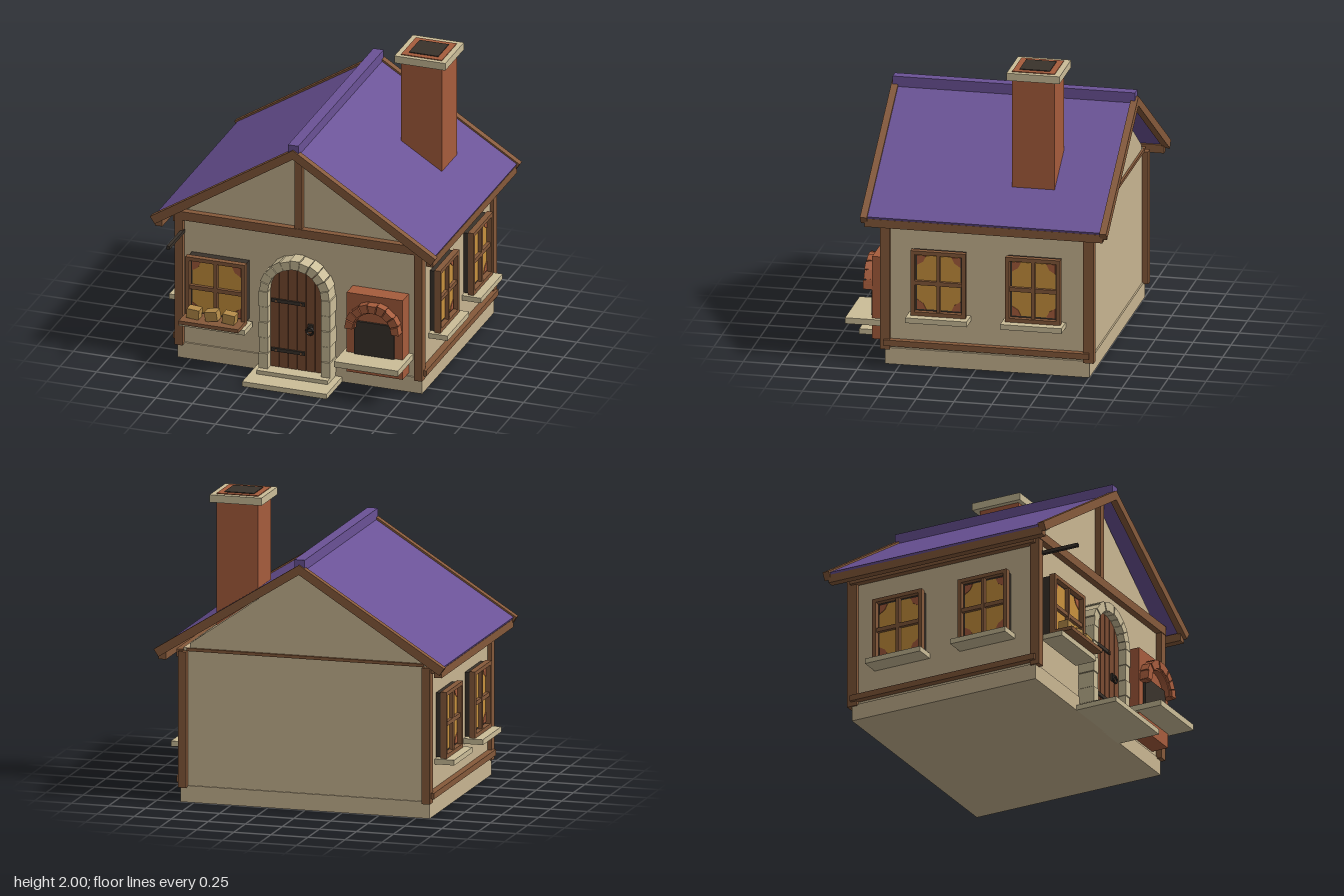
import * as THREE from 'three';

const mat = (name, color) => {
  const m = new THREE.MeshStandardMaterial({ color, flatShading: true });
  m.name = name;
  return m;
};

export function createModel() {
  const house = new THREE.Group();
  house.name = 'cottage';
  const plaster = mat('plaster', 0xc8b591);
  const stone = mat('pale stone', 0xcbbd98);
  const wood = mat('timber', 0x85593a);
  const doorWood = mat('door wood', 0x7a4b31);
  const roofMat = mat('purple roof', 0x6a5296);
  const brick = mat('brick', 0xa65c3c);
  const dark = mat('dark iron', 0x39322b);
  const glass = mat('amber glass', 0xc8913d);
  const bread = mat('bread', 0xb48b49);

  const add = (parent, name, geo, m) => {
    const mesh = new THREE.Mesh(geo, m);
    mesh.name = name;
    parent.add(mesh);
    return mesh;
  };
  // Box given by its minimum and maximum on each axis
  const box = (parent, name, m, x0, x1, y0, y1, z0, z1) => {
    const mesh = add(parent, name, new THREE.BoxGeometry(x1 - x0, y1 - y0, z1 - z0), m);
    mesh.position.set((x0 + x1) / 2, (y0 + y1) / 2, (z0 + z1) / 2);
    return mesh;
  };
  const extrude = (shape, depth) =>
    new THREE.ExtrudeGeometry(shape, { depth, bevelEnabled: false, curveSegments: 16 });
  const prism = (parent, name, m, pts, z0, z1) => {
    const shape = new THREE.Shape(pts.map(p => new THREE.Vector2(p[0], p[1])));
    const mesh = add(parent, name, extrude(shape, z1 - z0), m);
    mesh.position.z = z0;
    return mesh;
  };
  // Half ring of separate wedge blocks
  const archBlocks = (parent, name, m, cx, cy, rIn, rOut, count, z0, z1, gap) => {
    for (let i = 0; i < count; i++) {
      const a = (i / count) * Math.PI + gap, b = ((i + 1) / count) * Math.PI - gap;
      const out = i % 2 ? rOut : rOut - 0.006;
      const pt = (r, t) => [cx + r * Math.cos(t), cy + r * Math.sin(t)];
      prism(parent, name, m, [pt(rIn, a), pt(out, a), pt(out, b), pt(rIn, b)], z0, z1 - (i % 2) * 0.004);
    }
  };

  // Base, walls and gable
  box(house, 'foundation', plaster, -0.84, 0.84, 0, 0.11, -0.75, 0.6);
  box(house, 'walls', plaster, -0.825, 0.825, 0.11, 1.02, -0.74, 0.59);
  prism(house, 'gable', plaster, [[-0.78, 1.02], [0.78, 1.02], [0.78, 1.05], [0, 1.6], [-0.78, 1.05]], -0.74, 0.59);

  // Timber frame
  for (const s of [-1, 1]) {
    const span = (a, b) => (s > 0 ? [a, b] : [-b, -a]);
    box(house, 'frontPost', wood, ...span(0.795, 0.85), 0.1, 1.0, 0.565, 0.63);
    box(house, 'backPost', wood, ...span(0.795, 0.85), 0.1, 1.0, -0.78, -0.71);
    box(house, 'sillRail', wood, ...span(0.82, 0.87), 0.13, 0.17, -0.75, 0.605);
    box(house, 'wallPlate', wood, ...span(0.82, 0.87), 0.96, 1.01, -0.75, 0.605);
    box(house, 'eaveBeam', wood, ...span(0.905, 0.955), 0.96, 1.015, -0.86, 0.71);
    // Roof slope and barge boards
    prism(house, 'roofSlope', roofMat, [[0, 1.635], [s * 0.96, 1.03], [s * 0.945, 1.0], [0, 1.6]], -0.85, 0.695);
    for (const z of [-0.89, 0.69])
      prism(house, 'bargeBoard', wood, [[0, 1.65], [s * 0.98, 1.03], [s * 0.948, 0.982], [0, 1.585]], z, z + 0.045);
  }
  box(house, 'tieBeam', wood, -0.85, 0.85, 0.99, 1.05, 0.57, 0.635);
  box(house, 'backTieBeam', wood, -0.8, 0.8, 1.0, 1.02, -0.755, -0.72);
  box(house, 'kingPost', wood, -0.025, 0.025, 1.05, 1.6, 0.57, 0.63);
  box(house, 'ridgeCap', roofMat, -0.035, 0.035, 1.61, 1.682, -0.875, 0.725);

  // Chimney
  const chimney = new THREE.Group();
  chimney.name = 'chimney';
  house.add(chimney);
  box(chimney, 'chimneyStack', brick, 0.4, 0.68, 1.08, 1.995, -0.485, -0.205);
  box(chimney, 'chimneyCap', stone, 0.365, 0.715, 1.94, 1.99, -0.525, -0.175);
  box(chimney, 'flue', dark, 0.44, 0.64, 1.97, 2.0, -0.445, -0.245);

  // Window facing +z, with its back on z = 0 and centred on its own x and y
  const makeWindow = (w, h, sillW, sillOut) => {
    const g = new THREE.Group();
    g.name = 'window';
    const x = w / 2, y = h / 2, f = 0.026;
    box(g, 'windowBacking', dark, -x + 0.008, x - 0.008, -y + 0.008, y - 0.008, -0.01, 0.04);
    const gx = x - f - 0.012, gy = y - f - 0.012;
    box(g, 'pane', glass, -gx, gx, -gy, gy, 0.036, 0.044);
    for (const s of [-1, 1]) {
      box(g, 'frameSide', wood, s * (x - f / 2) - f / 2, s * (x - f / 2) + f / 2, -y, y, 0.035, 0.075);
      box(g, 'frameRail', wood, -x + f, x - f, s * (y - f / 2) - f / 2, s * (y - f / 2) + f / 2, 0.035, 0.075);
      for (const t of [-1, 1])
        prism(g, 'curtainCorner', brick, [[s * gx, t * gy], [s * (gx - 0.06), t * gy],
          [s * (gx - 0.04), t * (gy - 0.04)], [s * gx, t * (gy - 0.065)]], 0.044, 0.048);
    }
    box(g, 'mullion', wood, -0.012, 0.012, -y + f, y - f, 0.04, 0.068);
    box(g, 'crossbar', wood, -x + f, x - f, -0.014, 0.014, 0.04, 0.066);
    box(g, 'windowSill', stone, -sillW / 2, sillW / 2, -y - 0.035, -y, -0.01, sillOut);
    return g;
  };
  for (const s of [-1, 1])
    for (const z of [0.238, -0.388]) {
      const win = makeWindow(0.362, 0.44, 0.405, 0.133);
      win.position.set(s * 0.823, 0.58, z);
      win.rotation.y = s * Math.PI / 2;
      house.add(win);
    }

  // Front window with a shelf of loaves
  const shopWindow = makeWindow(0.41, 0.43, 0.455, 0.14);
  shopWindow.position.set(-0.548, 0.55, 0.62);
  house.add(shopWindow);
  box(house, 'windowRecess', dark, -0.745, -0.351, 0.345, 0.757, 0.58, 0.63);
  box(house, 'shelf', wood, -0.753, -0.343, 0.338, 0.363, 0.66, 0.82);
  [-0.675, -0.55, -0.43].forEach((x, i) => {
    const loaf = box(house, 'loaf', bread, x - 0.042, x + 0.042, 0.367, 0.432, 0.7, 0.77);
    loaf.rotation.z = [-0.08, 0.16, -0.1][i];
  });

  // Arched door with planks, hinges and a ring handle
  const door = new THREE.Group();
  door.name = 'door';
  house.add(door);
  const backShape = new THREE.Shape();
  backShape.moveTo(-0.19, 0.06);
  backShape.lineTo(0.19, 0.06);
  backShape.lineTo(0.19, 0.605);
  backShape.absarc(0, 0.605, 0.19, 0, Math.PI, false);
  add(door, 'doorBacking', extrude(backShape, 0.05), dark).position.z = 0.58;
  const plankW = 0.37 / 6;
  for (let i = 0; i < 6; i++) {
    const a = -0.185 + i * plankW + 0.003, b = a + plankW - 0.006;
    const pts = [[a, 0.06], [b, 0.06]];
    for (let k = 0; k <= 4; k++) {
      const x = b + (a - b) * k / 4;
      pts.push([x, 0.605 + Math.sqrt(Math.max(0, 0.185 ** 2 - x * x))]);
    }
    prism(door, 'doorPlank', doorWood, pts, 0.6, 0.65);
  }
  for (const y of [0.185, 0.533]) {
    box(door, 'hinge', dark, -0.175, 0.055, y - 0.012, y + 0.012, 0.64, 0.662);
    for (const x of [-0.14, 0.03]) box(door, 'hingeStud', wood, x - 0.006, x + 0.006, y - 0.006, y + 0.006, 0.66, 0.667);
  }
  box(door, 'handlePlate', dark, 0.078, 0.112, 0.35, 0.4, 0.64, 0.665);
  add(door, 'handleRing', new THREE.TorusGeometry(0.024, 0.007, 6, 14), dark).position.set(0.095, 0.358, 0.674);

  // Stone door surround and steps
  for (const s of [-1, 1])
    for (let i = 0; i < 5; i++) {
      const y = 0.06 + i * 0.109, out = i % 2 ? 0.242 : 0.247;
      const x = [s * 0.183, s * out].sort((p, q) => p - q);
      box(house, 'jambStone', stone, x[0], x[1], y + 0.002, y + 0.107, 0.57, i % 2 ? 0.7 : 0.705);
    }
  archBlocks(house, 'archStone', stone, 0, 0.605, 0.183, 0.247, 11, 0.57, 0.705, 0.008);
  box(house, 'lowerStep', stone, -0.29, 0.29, 0, 0.035, 0.59, 0.89);
  box(house, 'upperStep', stone, -0.245, 0.245, 0.035, 0.062, 0.59, 0.747);

  // Brick oven
  const oven = new THREE.Group();
  oven.name = 'oven';
  house.add(oven);
  box(oven, 'ovenBody', brick, 0.36, 0.745, 0.13, 0.69, 0.57, 0.705);
  archBlocks(oven, 'ovenArchBrick', brick, 0.553, 0.46, 0.135, 0.193, 9, 0.7, 0.768, 0.018);
  const ring = new THREE.Shape().absarc(0, 0, 0.185, 0, Math.PI, false);
  ring.lineTo(-0.125, 0);
  ring.absarc(0, 0, 0.125, Math.PI, 0, true);
  add(oven, 'ovenArchRing', extrude(ring, 0.05), brick).position.set(0.553, 0.46, 0.7);
  box(oven, 'ovenMouth', dark, 0.415, 0.69, 0.27, 0.503, 0.7, 0.72);
  box(oven, 'ovenLedge', stone, 0.335, 0.775, 0.23, 0.27, 0.59, 0.878);

  // Iron sign bracket
  box(house, 'signBracket', dark, -0.81, -0.788, 0.891, 0.914, 0.6, 0.89);

  return house;
}
